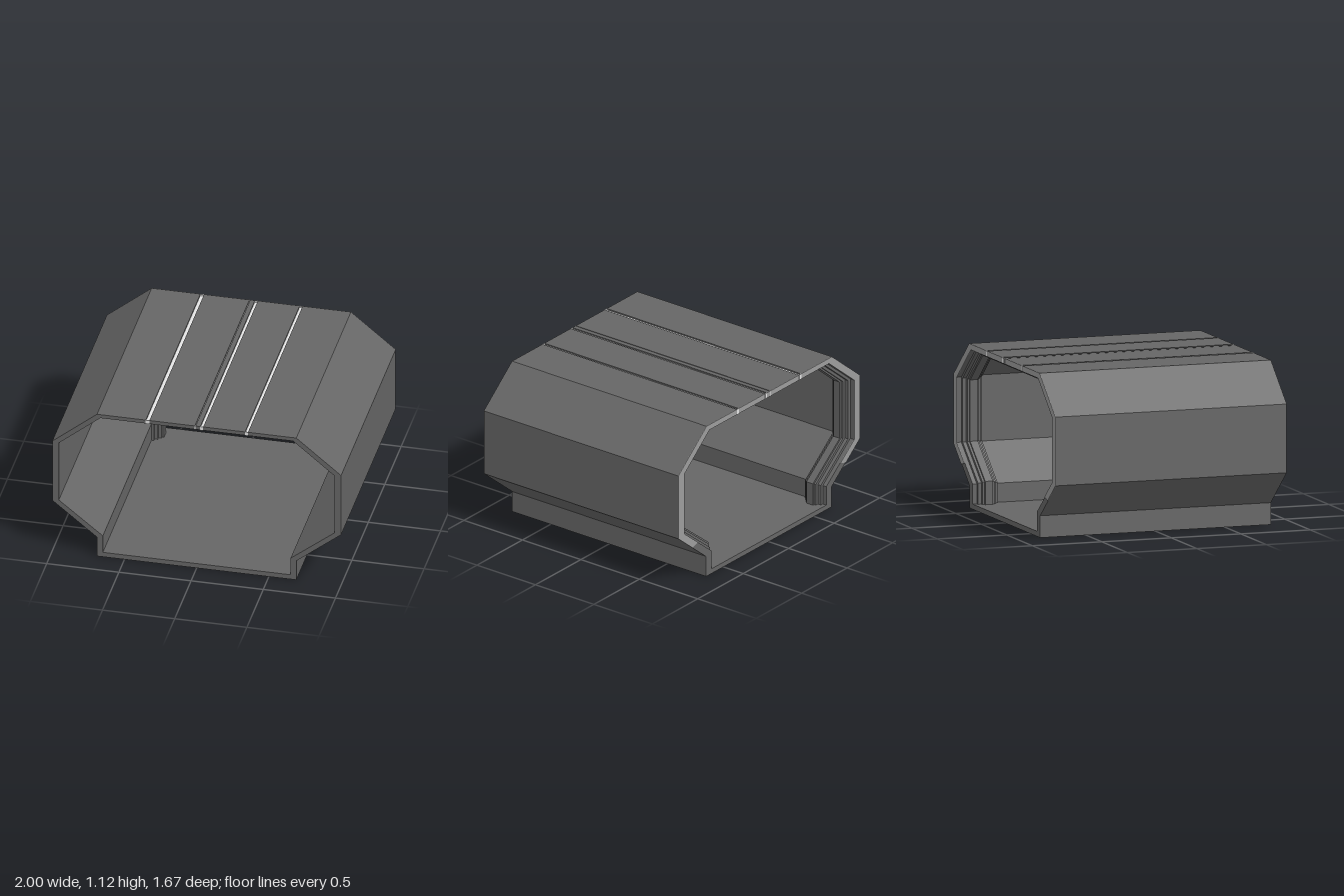
import * as THREE from 'three';

const HALF = 0.83; // half length along z
const ROOF = 1.125;
const OUTER = [[0.69, 0], [0.69, 0.15], [1, 0.4], [1, 0.87], [0.69, ROOF]];
const INNER = [[0.575, 0], [0.575, 0.195], [0.87, 0.425], [0.87, 0.845], [0.625, 1.048]];
// roof seams: [x, width]
const SEAMS = [[-0.34, 0.025], [-0.01, 0.006], [0.035, 0.02], [0.345, 0.02]];

const lerp = (a, b, t) => a + (b - a) * t;

// Half cross-section between the outer (k = 0) and innermost (k = 1) outline
const section = (k) => OUTER.map(([x, y], i) => [lerp(x, INNER[i][0], k), lerp(y, INNER[i][1], k)]);
// Open arch running from the +x foot over the top to the -x foot
const arch = (half) => [...half, ...[...half].reverse().map(([x, y]) => [-x, y])];
const vectors = (pts) => pts.map(([x, y]) => new THREE.Vector2(x, y));

export function createModel() {
  const group = new THREE.Group();
  const hull = new THREE.MeshStandardMaterial({ color: 0x666666 });
  hull.name = 'dark grey';
  const trim = new THREE.MeshStandardMaterial({ color: 0x9c9c9c });
  trim.name = 'mid grey';
  const light = new THREE.MeshStandardMaterial({ color: 0xe4e4e4 });
  light.name = 'pale grey';

  const extrude = (name, shape, z0, z1, material) => {
    const geometry = new THREE.ExtrudeGeometry(shape, { depth: z1 - z0, bevelEnabled: false });
    geometry.translate(0, 0, z0);
    const mesh = new THREE.Mesh(geometry, material);
    mesh.name = name;
    group.add(mesh);
  };
  const box = (name, x0, x1, y0, y1, z0, z1, material) => {
    const mesh = new THREE.Mesh(new THREE.BoxGeometry(x1 - x0, y1 - y0, z1 - z0), material);
    mesh.position.set((x0 + x1) / 2, (y0 + y1) / 2, (z0 + z1) / 2);
    mesh.name = name;
    group.add(mesh);
  };

  // Eight-sided tunnel shell with a flat floor and grooves along the roof
  const wall = 0.35;
  const half = section(0);
  const outline = [...half];
  for (const [x, w] of [...SEAMS].reverse()) {
    outline.push([x + w / 2, ROOF], [x + w / 2, ROOF - 0.014], [x - w / 2, ROOF - 0.014], [x - w / 2, ROOF]);
  }
  outline.push(...[...half].reverse().map(([x, y]) => [-x, y]));
  const shell = new THREE.Shape(vectors(outline));
  const cavity = section(wall);
  cavity[0][1] = 0.035;
  shell.holes.push(new THREE.Path(vectors(arch(cavity).reverse())));
  extrude('shell', shell, -HALF, HALF, hull);

  // Stepped door frame inside the back end, each layer narrower and deeper
  const layers = [[0.5, -HALF, -0.65], [0.69, -0.8, -0.67], [0.88, -0.775, -0.69], [1, -0.76, -0.705]];
  for (const [k, z0, z1] of layers) {
    const outer = section(0.25);
    const inner = section(k);
    outer[0][1] = inner[0][1] = 0.03;
    const ring = new THREE.Shape(vectors([...arch(outer), ...arch(inner).reverse()]));
    extrude('doorFrame', ring, z0, z1, hull);
  }

  // Lighter band on the back rim, ending halfway down the lower slopes
  const bandHalf = (k) => {
    const s = section(k);
    const end = [(s[1][0] + s[2][0]) / 2, (s[1][1] + s[2][1]) / 2];
    return [end, ...s.slice(2)];
  };
  const band = new THREE.Shape(vectors([...arch(bandHalf(0)), ...arch(bandHalf(0.5)).reverse()]));
  extrude('rimBand', band, -HALF - 0.004, -HALF, trim);

  // Pale strips set in the roof grooves, with ends showing on both rims
  const ceiling = lerp(ROOF, INNER[4][1], wall);
  for (const [x, w] of SEAMS) {
    const a = x - w / 2, b = x + w / 2;
    box('roofStrip', a, b, ROOF - 0.018, ROOF - 0.01, -HALF, HALF, light);
    box('stripFrontEnd', a, b, ceiling, ROOF, HALF - 0.005, HALF + 0.002, light);
    box('stripBackEnd', a, b, 1.087, ROOF, -HALF - 0.006, -HALF + 0.002, light);
    box('stripFrameEnd', a, b, 1.047, ceiling, -0.705, -0.703, light);
  }

  // Fine seam lines on the ceiling, one of them stepping sideways
  const seam = (x, z0, z1) => box('ceilingSeam', x - 0.004, x + 0.004, ceiling - 0.002, ceiling + 0.002, z0, z1, light);
  seam(0.345, -0.65, HALF);
  seam(0.03, -0.65, HALF);
  seam(-0.325, -0.65, -0.25);
  box('ceilingSeamStep', -0.36, -0.321, ceiling - 0.002, ceiling + 0.002, -0.254, -0.246, light);
  seam(-0.356, -0.25, HALF);

  return group;
}
